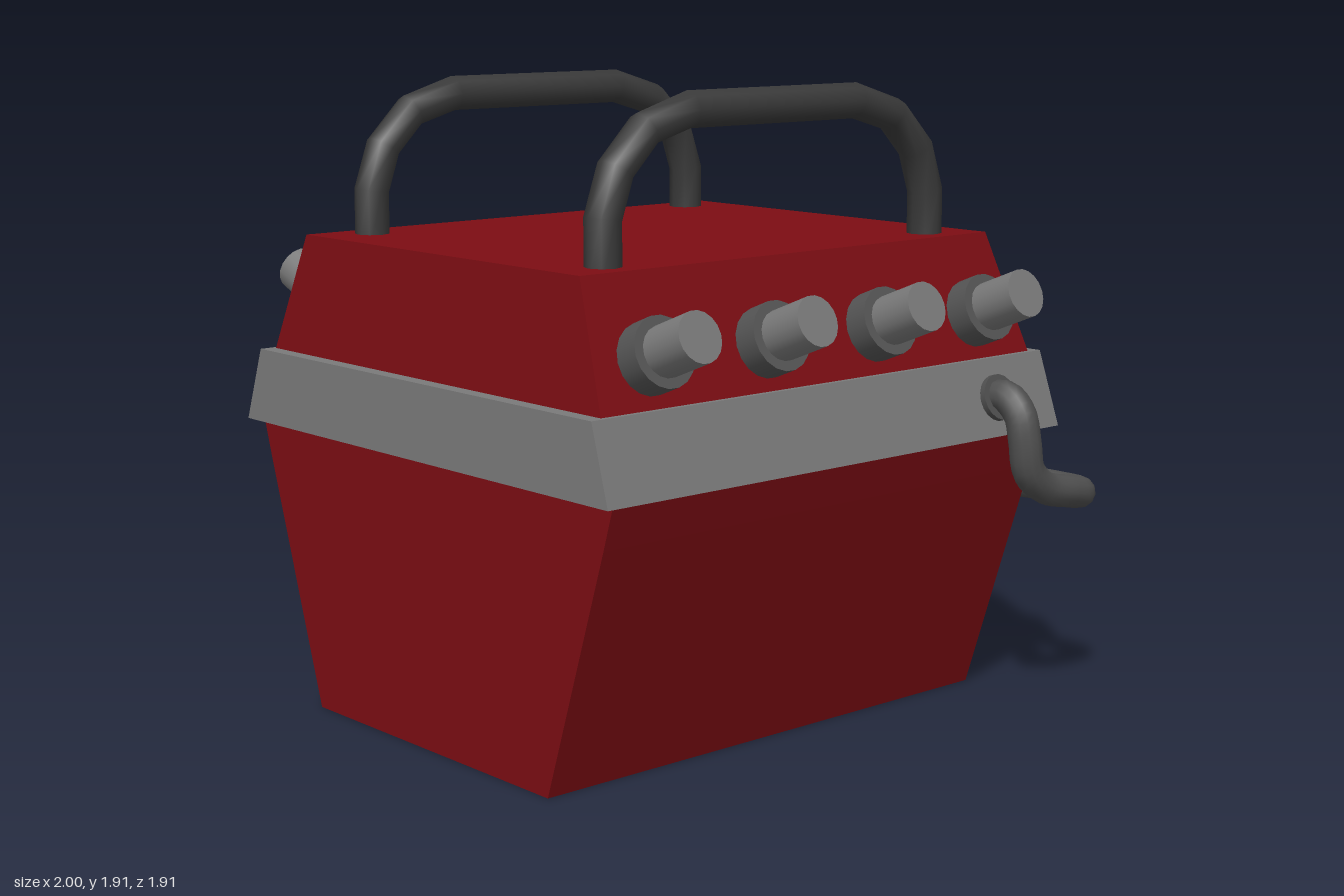
import * as THREE from 'three';

const mat = (color, flatShading = false) => new THREE.MeshStandardMaterial({ color, flatShading });
const red = mat(0x7d0d13, true);
const steel = mat(0x7a7a7a, true);
const rodGrey = mat(0x7a7a7a);
const collarGrey = mat(0x555555);
const pipeGrey = mat(0x505050);
const handleGrey = mat(0x3a3a3a);

const v = (x, y, z) => new THREE.Vector3(x, y, z);

function add(parent, name, geometry, material) {
  const mesh = new THREE.Mesh(geometry, material);
  mesh.name = name;
  parent.add(mesh);
  return mesh;
}

// Closed loft through five-cornered rings: [y, half width, front z, back corner z, back middle z]
function loft(rings) {
  const pos = [];
  const loops = rings.map(([y, w, f, b, m]) =>
    [v(w, y, f), v(w, y, b), v(0, y, m), v(-w, y, b), v(-w, y, f)]);
  const tri = (...pts) => pts.forEach(p => pos.push(p.x, p.y, p.z));
  for (let i = 0; i < loops.length - 1; i++) {
    for (let j = 0; j < 5; j++) {
      const k = (j + 1) % 5;
      const a = loops[i][j], b = loops[i][k], c = loops[i + 1][k], d = loops[i + 1][j];
      tri(a, b, c);
      tri(a, c, d);
    }
  }
  const bottom = loops[0], top = loops[loops.length - 1];
  for (let j = 1; j < 4; j++) {
    tri(bottom[0], bottom[j + 1], bottom[j]);
    tri(top[0], top[j], top[j + 1]);
  }
  const g = new THREE.BufferGeometry();
  g.setAttribute('position', new THREE.Float32BufferAttribute(pos, 3));
  g.computeVertexNormals();
  return g;
}

// Cylinder running between two points
function rodBetween(a, b, radius, sides = 18) {
  const dir = b.clone().sub(a);
  const g = new THREE.CylinderGeometry(radius, radius, dir.length(), sides);
  g.applyQuaternion(new THREE.Quaternion().setFromUnitVectors(v(0, 1, 0), dir.normalize()));
  const mid = a.clone().add(b).multiplyScalar(0.5);
  return g.translate(mid.x, mid.y, mid.z);
}

// Tube with exactly one ring on each path point
function facetedTube(points, radius, sides) {
  const curve = new THREE.CatmullRomCurve3(points);
  curve.getPointAt = curve.getPoint;
  curve.getTangentAt = curve.getTangent;
  return new THREE.TubeGeometry(curve, points.length - 1, radius, sides);
}

export function createModel() {
  const model = new THREE.Group();
  model.name = 'chest';
  const chest = new THREE.Group();
  chest.name = 'chestParts';
  chest.position.x = -0.005;
  model.add(chest);

  // Tapered case with a slightly bowed back
  add(chest, 'lowerCase', loft([
    [0, 0.557, 0.915, -0.79, -0.79],
    [0.74, 0.8, 0.915, -0.79, -0.79],
    [0.9, 0.85, 0.915, -0.79, -0.82],
  ]), red);
  add(chest, 'upperCase', loft([
    [1.05, 0.785, 0.908, -0.79, -0.825],
    [1.09, 0.78, 0.905, -0.79, -0.825],
    [1.45, 0.65, 0.868, -0.73, -0.73],
  ]), red);

  // Metal band around the waist
  add(chest, 'waistBand', loft([
    [0.867, 0.868, 0.956, -0.836, -0.826],
    [1.092, 0.795, 0.95, -0.828, -0.822],
  ]), steel);

  // Carrying handles on the lid
  const half = [[0.635, 1.4], [0.635, 1.58], [0.59, 1.71], [0.485, 1.815], [0.325, 1.862]];
  const path = [...half, ...half.slice().reverse().map(([z, y]) => [-z, y])];
  for (const side of [1, -1]) {
    const points = path.map(([z, y]) => v(side * 0.545, y, z + 0.065));
    add(chest, side > 0 ? 'leftHandle' : 'rightHandle', facetedTube(points, 0.053, 8), handleGrey);
  }

  for (const side of [1, -1]) {
    const label = side > 0 ? 'left' : 'right';

    // Row of collared rods set square to the sloping side
    for (const z of [-0.58, -0.155, 0.277, 0.705]) {
      const at = d => v(side * (0.805 + 0.93 * d), 1.25 + 0.37 * d, z);
      add(chest, label + 'Collar', rodBetween(at(-0.1), at(0), 0.102), collarGrey);
      add(chest, label + 'Rod', rodBetween(at(-0.05), at(0.15), 0.073), rodGrey);
    }

    // Pipe leaving the band, turning down and round into the back
    const drop = side > 0 ? 0 : 0.025;
    const p = (x, y, z) => v(side * x, y + drop, z);
    const curve = new THREE.CatmullRomCurve3([
      p(0.8, 0.97, -0.59), p(0.87, 0.985, -0.59), p(0.925, 0.94, -0.59),
      p(0.945, 0.86, -0.592), p(0.947, 0.77, -0.61), p(0.947, 0.71, -0.68),
      p(0.947, 0.68, -0.8), p(0.93, 0.665, -0.87), p(0.87, 0.657, -0.904),
      p(0.72, 0.655, -0.904), p(0.63, 0.655, -0.88), p(0.58, 0.655, -0.82), p(0.575, 0.655, -0.77),
    ]);
    add(chest, label + 'Pipe', new THREE.TubeGeometry(curve, 48, 0.05, 12), pipeGrey);
    add(chest, label + 'BandFlange', rodBetween(p(0.8, 0.965, -0.59), p(0.85, 0.982, -0.59), 0.07), pipeGrey);
    add(chest, label + 'BackFlange', rodBetween(p(0.575, 0.66, -0.78), p(0.585, 0.66, -0.842), 0.083), pipeGrey);
  }
  return model;
}
